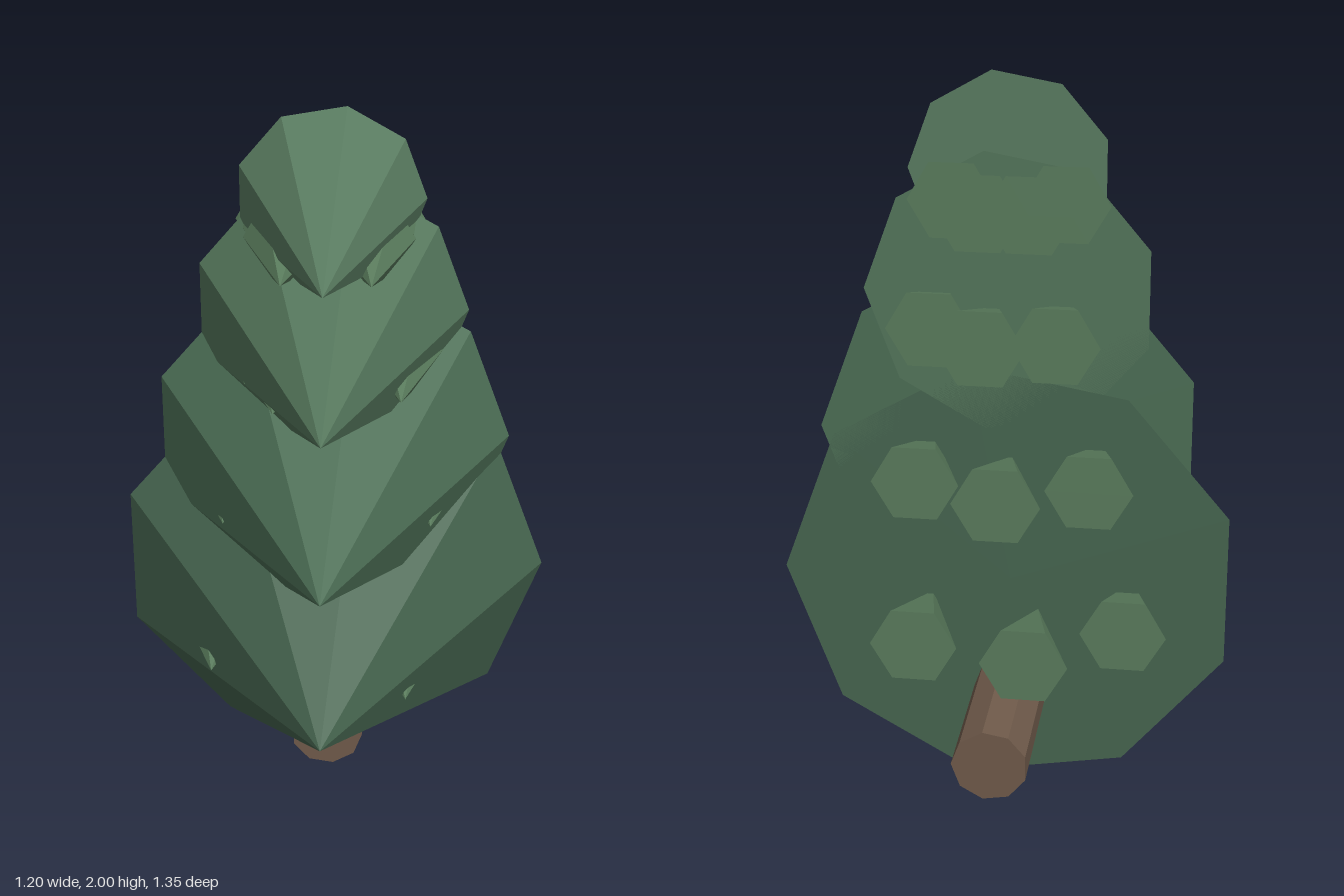
import * as THREE from 'three';

const CX = -0.02;      // shared axis in x
const BACK = -0.265;   // plane of the large cone bases

function material(color) {
  return new THREE.MeshStandardMaterial({ color, flatShading: true });
}

// Cylinder or cone lying along z: wide end at zBase, narrow end at zTip, first corner on +x
function alongZ(name, rTip, rBase, zBase, zTip, sides, mat, x, y) {
  const length = zTip - zBase;
  const geo = new THREE.CylinderGeometry(rTip, rBase, length, sides, 1, false, Math.PI / 2);
  geo.rotateX(Math.PI / 2);
  const mesh = new THREE.Mesh(geo, mat);
  mesh.name = name;
  mesh.position.set(x, y, zBase + length / 2);
  return mesh;
}

export function createModel() {
  const tree = new THREE.Group();
  tree.name = 'pineTree';

  // Trunk
  tree.add(alongZ('trunk', 0.1, 0.1, -0.675, 0.14, 9, material(0x6f5a4a), CX, 0.275));

  // Foliage layers: height, radius, tip depth, colour
  const layers = [
    { y: 0.61, r: 0.617, tip: 0.67, color: 0x46654f },
    { y: 1.03, r: 0.505, tip: 0.64, color: 0x4c6e55 },
    { y: 1.42, r: 0.38, tip: 0.54, color: 0x53755a },
    { y: 1.745, r: 0.259, tip: 0.38, color: 0x597b60 },
  ];
  const tuftMat = material(0x597b5c);
  const count = 7;

  layers.forEach(({ y, r, tip, color }, i) => {
    const layer = new THREE.Group();
    layer.name = `foliageLayer${i + 1}`;
    layer.add(alongZ('foliageCone', 0, r, BACK, tip, 9, material(color), CX, y));

    // Ring of small tufts, each layer turned a quarter step further
    const ring = r * 0.57;
    for (let k = 0; k < count; k++) {
      const a = ((k + i / 4) / count) * Math.PI * 2;
      const zBase = -0.26 + ring * Math.sin(a);
      layer.add(alongZ('branchTuft', 0, 0.114, zBase, zBase + 0.315, 6, tuftMat,
        CX + ring * Math.cos(a), y - 0.075));
    }
    tree.add(layer);
  });

  return tree;
}
